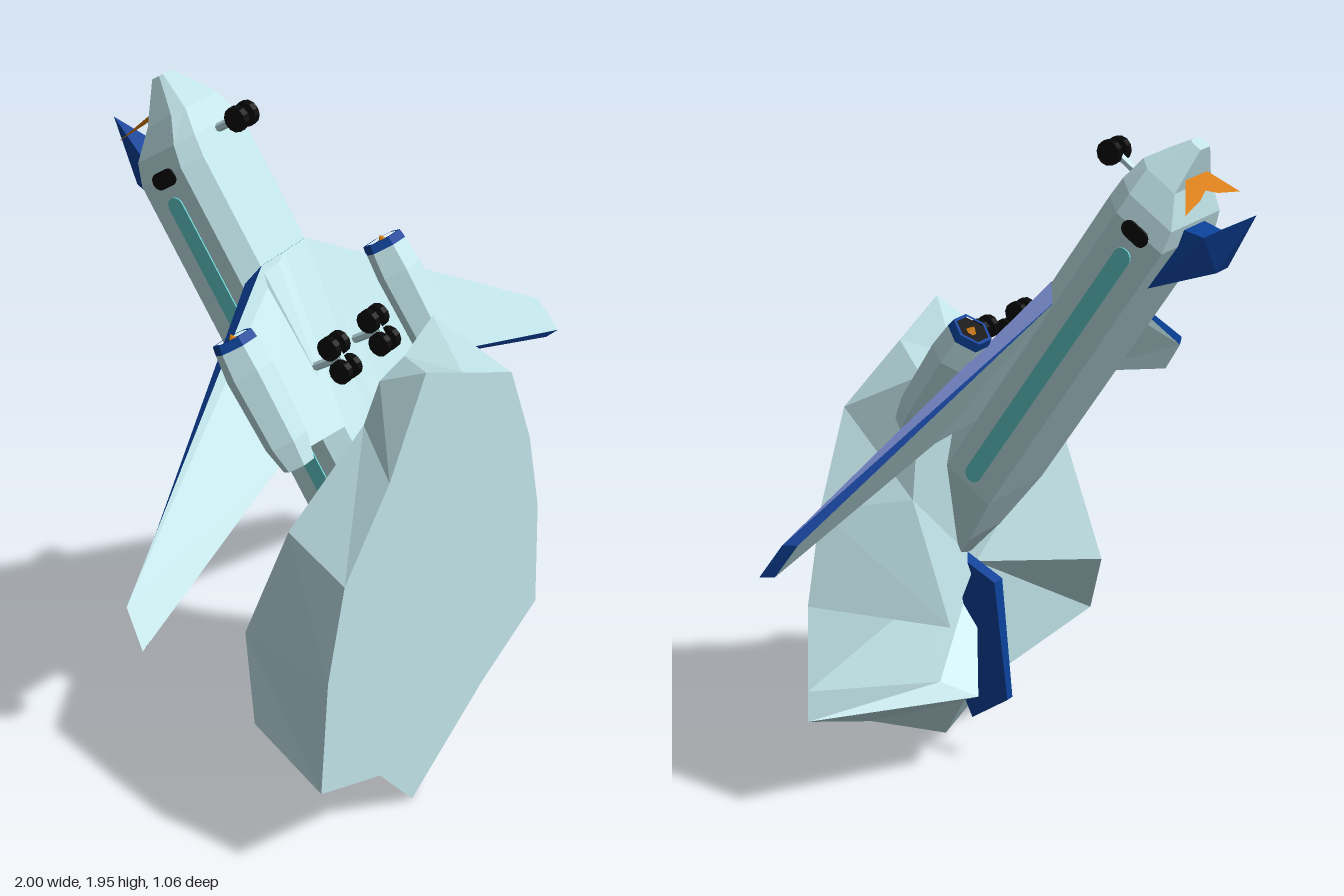
import * as THREE from 'three';
import { ConvexGeometry } from 'three/addons/geometries/ConvexGeometry.js';

const paint = (name, color, extra = {}) => {
  const m = new THREE.MeshStandardMaterial({ color, ...extra });
  m.name = name;
  return m;
};

function flat(geo) {
  const g = geo.index ? geo.toNonIndexed() : geo;
  g.computeVertexNormals();
  return g;
}

// Skin over equal-length rings of [x, y, z], closed by a fan at each end
function loft(rings, startCentre) {
  const pos = [], n = rings[0].length;
  const mean = r => [0, 1, 2].map(k => r.reduce((s, p) => s + p[k], 0) / n);
  const first = rings[0], last = rings[rings.length - 1];
  const c0 = startCentre || mean(first), c1 = mean(last);
  for (let i = 0; i < n; i++) {
    const j = (i + 1) % n;
    for (let r = 0; r < rings.length - 1; r++) {
      const a = rings[r], b = rings[r + 1];
      pos.push(...a[i], ...a[j], ...b[j], ...a[i], ...b[j], ...b[i]);
    }
    pos.push(...c0, ...first[j], ...first[i], ...c1, ...last[i], ...last[j]);
  }
  const g = new THREE.BufferGeometry();
  g.setAttribute('position', new THREE.Float32BufferAttribute(pos, 3));
  g.computeVertexNormals();
  return g;
}

const hull = pts => flat(new ConvexGeometry(pts.map(p => new THREE.Vector3(...p))));

export function createModel() {
  const model = new THREE.Group();
  const ice = paint('pale ice blue', 0xc0e3e8);
  const blue = paint('deep blue', 0x0a4098);
  const teal = paint('teal', 0x64cccc);
  const black = paint('black', 0x070707);
  const orange = paint('orange', 0xd87c08, { side: THREE.DoubleSide });

  const add = (parent, name, geo, mat) => {
    const m = new THREE.Mesh(geo, mat);
    m.name = name;
    parent.add(m);
    return m;
  };

  // Faceted rock: flat front rim and a jagged inner ring behind it
  const rim = [[-.08, 0], [.28, .19], [.57, .31], [.565, .4], [.55, .65], [.48, .91], [.36, 1.17],
    [.1, 1.288], [-.08, 1.37], [-.24, 1.12], [-.44, .91], [-.51, .65], [-.535, .31], [-.25, .19]]
    .map(([x, y]) => [x, y, .53]);
  const crags = [[0, .18, .4], [.12, .27, .27], [.2, .33, .345], [.17, .59, .4], [.41, .625, .155],
    [.37, .95, .3], [.32, 1.29, .3], [.1, 1.28, .35], [-.08, 1.3, .39], [-.12, 1.18, .37],
    [-.36, .95, .3], [-.34, .56, .145], [-.43, .35, .24], [-.12, .21, .385]];
  add(model, 'rock', loft([crags, rim], [-.08, .585, .41]), ice);

  // Aircraft frame: +y towards the nose, +z towards the belly
  const plane = new THREE.Group();
  plane.name = 'aircraft';
  plane.rotation.x = -.6;
  model.add(plane);

  // Fuselage stations: y, half width, belly z, top z
  const stations = [[.28, .03, .76, .69], [.42, .08, .83, .675], [.6, .14, .89, .672],
    [1.57, .14, .89, .676], [1.63, .128, .89, .692], [1.7, .095, .882, .752], [1.805, .025, .82, .782]];
  const rings = stations.map(([y, w, b, t]) => {
    const c = w * .72, bz = b - (b - t) * .25;
    return [[-c, b], [c, b], [w, bz], [w * .97, t], [-w * .97, t], [-w, bz]]
      .map(([x, z]) => [x, y, z]);
  });
  add(plane, 'fuselage', loft(rings), ice);

  // Rounded plate lying on a fuselage side, turned by tilt
  const plate = (name, side, y, z, length, r, tilt, mat) => {
    const s = new THREE.Shape();
    s.absarc(0, length / 2 - r, r, 0, Math.PI);
    s.absarc(0, r - length / 2, r, Math.PI, Math.PI * 2);
    const g = new THREE.ExtrudeGeometry(s, { depth: .009, bevelEnabled: false, curveSegments: 5 });
    g.translate(0, 0, -.006).rotateZ(tilt);
    const m = add(plane, name, g, mat);
    m.rotation.y = side * Math.PI / 2;
    m.position.set(side * .14, y, z);
  };

  // Gear leg with rows of paired wheels, axles across the aircraft
  const landingGear = (name, x, y, rows, gap, r) => {
    const gear = new THREE.Group();
    gear.name = name;
    plane.add(gear);
    const strut = flat(new THREE.CylinderGeometry(.012, .012, .12, 6).rotateX(Math.PI / 2));
    add(gear, 'strut', strut, ice).position.set(x, y, .925);
    for (const dy of rows) {
      const axle = flat(new THREE.CylinderGeometry(.008, .008, gap * 2, 6).rotateZ(Math.PI / 2));
      add(gear, 'axle', axle, ice).position.set(x, y + dy, .982);
      for (const s of [-1, 1]) {
        const wheel = flat(new THREE.CylinderGeometry(r, r, .02, 12).rotateZ(Math.PI / 2));
        add(gear, 'wheel', wheel, black).position.set(x + s * gap, y + dy, .982);
      }
    }
    if (rows.length > 1) {
      add(gear, 'bogie', new THREE.BoxGeometry(.016, .07, .016), ice).position.set(x, y, .982);
    }
  };
  landingGear('noseGear', 0, 1.616, [0], .022, .034);

  for (const side of [-1, 1]) {
    plate('windowStripe', side, 1.065, .758, .89, .025, 0, teal);
    plate('cockpitWindow', side, 1.562, .765, .084, .023, Math.PI / 2, black);
    landingGear('mainGear', side * .092, .95, [-.034, .034], .021, .032);

    // Wing: pale faces, blue edges, flush with the belly, rising and thinning to a bevelled tip
    const outline = [[0, 1.25], [.1, 1.25], [.98, .717], [1, .605], [.35, .79], [.1, .775], [0, .775]];
    const shape = new THREE.Shape(outline.map(([x, y]) => new THREE.Vector2(side * x, y)));
    const wing = new THREE.ExtrudeGeometry(shape, { depth: 1, bevelEnabled: false });
    const p = wing.attributes.position;
    for (let i = 0; i < p.count; i++) {
      const x = Math.abs(p.getX(i)), upper = 1 - p.getZ(i);
      p.setZ(i, .893 - .104 * Math.max(0, x - .1) - upper * (.05 - .03 * x));
      if (x > .9) p.setX(i, side * (x - .04 * upper));
    }
    wing.computeVertexNormals();
    add(plane, 'wing', wing, [ice, blue]);

    // Six-sided engine with blue intake lip
    const engine = new THREE.Group();
    engine.name = 'engine';
    engine.position.set(side * .345, 0, .917);
    engine.rotation.y = Math.PI / 6;
    plane.add(engine);
    const lathe = pts => flat(new THREE.LatheGeometry(pts.map(q => new THREE.Vector2(...q)), 6));
    add(engine, 'engineBody', lathe([[.044, .77], [.06, .84], [.067, 1.04], [.06, 1.115]]), ice);
    add(engine, 'intakeLip', lathe([[.06, 1.115], [.056, 1.14], [.046, 1.14]]), blue);
    const disc = (name, r, y, dir) =>
      add(engine, name, new THREE.CircleGeometry(r, 6, Math.PI / 6).rotateX(-dir * Math.PI / 2), black)
        .position.set(0, y, 0);
    disc('intake', .054, 1.132, 1);
    disc('exhaust', .044, .77, -1);
    add(engine, 'hub', flat(new THREE.ConeGeometry(.016, .02, 6)), orange).position.y = 1.14;
  }

  // Swept tail fin
  const finEdge = [[.325, .56], [.046, .326], [-.096, .379], [.05, .62], [.3, .71]];
  add(plane, 'tailFin', hull(finEdge.flatMap(([y, z], i) => {
    const w = i === 1 || i === 2 ? .013 : .02;
    return [[-w, y, z], [w, y, z]];
  })), blue);

  // Pointed crest on top of the nose
  const pair = (x, y, z) => [[-x, y, z], [x, y, z]];
  const front = pair(.045, 1.637, .636), back = pair(.03, 1.577, .559);
  add(plane, 'crestBase', hull([...pair(.055, 1.61, .71), ...pair(.07, 1.403, .69), ...front, ...back]), blue);
  add(plane, 'crestTip', hull([...front, ...back, [0, 1.765, .57]]), blue);

  // Thin two-pointed plate across the nose
  const points = [[0, .79], [.05, .765], [.14, .681], [.045, .7], [0, .718],
    [-.045, .7], [-.14, .681], [-.05, .765]];
  const trim = new THREE.ShapeGeometry(new THREE.Shape(points.map(q => new THREE.Vector2(...q))));
  const t = trim.attributes.position;
  for (let i = 0; i < t.count; i++) {
    const z = t.getY(i);
    t.setXYZ(i, t.getX(i), 1.735 - (.78 - z) * .32, z);
  }
  trim.computeVertexNormals();
  add(plane, 'noseTrim', trim, orange);

  return model;
}
